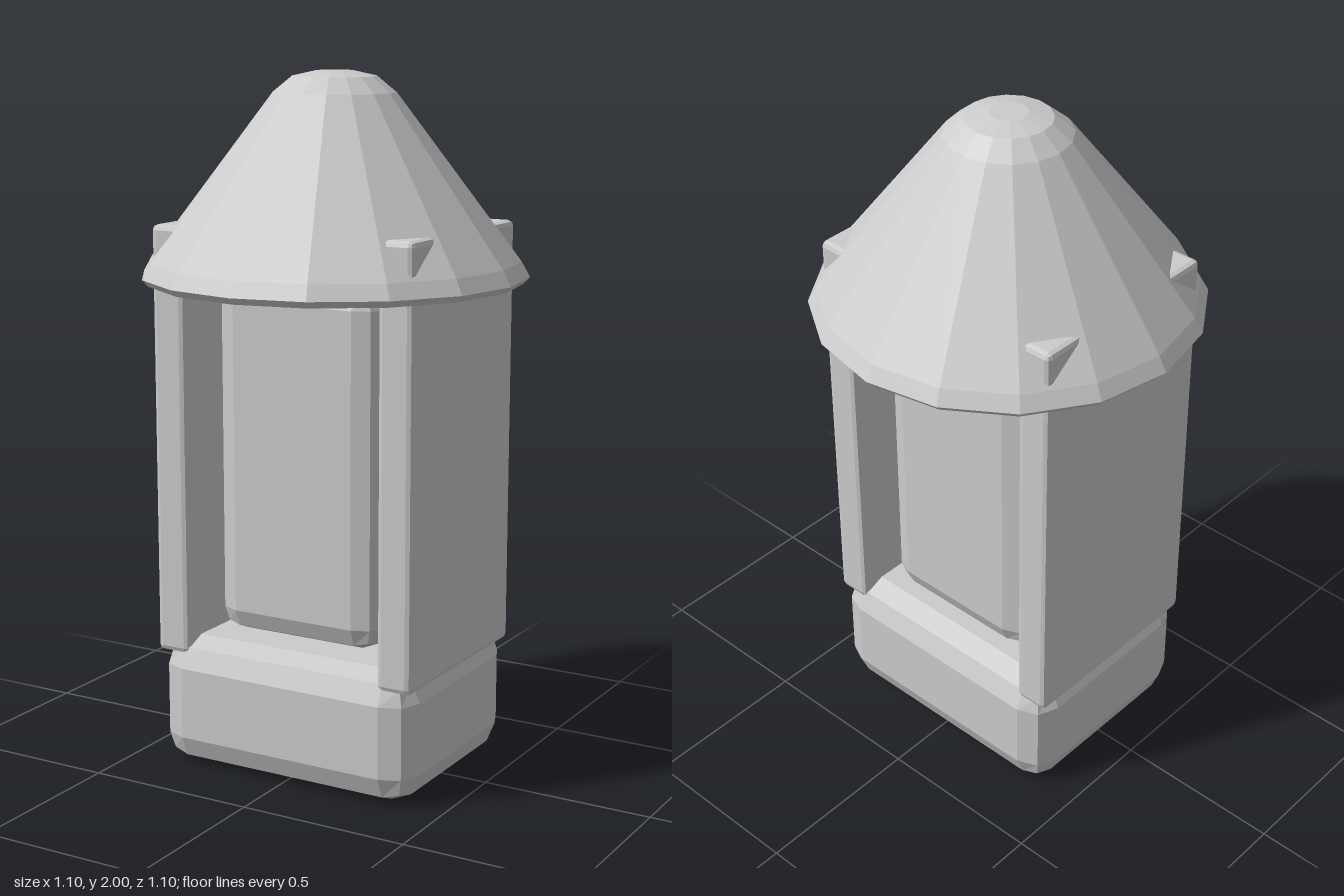
import * as THREE from 'three';
import { RoundedBoxGeometry } from 'three/addons/geometries/RoundedBoxGeometry.js';

export function createModel() {
  const group = new THREE.Group();
  const stone = new THREE.MeshStandardMaterial({ color: 0xcccccc });
  stone.name = 'light grey stone';
  stone.flatShading = true;

  function add(name, geometry, x = 0, y = 0, z = 0) {
    const mesh = new THREE.Mesh(geometry, stone);
    mesh.name = name;
    mesh.position.set(x, y, z);
    group.add(mesh);
  }

  // Block with two-step bevelled edges, spanning y0 to y1
  function block(name, width, depth, y0, y1, bevel, x = 0) {
    add(name, new RoundedBoxGeometry(width, y1 - y0, depth, 1, bevel), x, (y0 + y1) / 2);
  }

  block('base', 0.82, 0.65, 0, 0.38, 0.085);
  block('corePanel', 0.52, 0.48, 0.4, 1.44, 0.07);

  // Side walls, whose top corners poke through the roof
  for (const side of [-1, 1]) {
    block(side > 0 ? 'leftWall' : 'rightWall', 0.105, 0.62, 0.335, 1.578, 0.016, side * 0.3625);
  }

  // Sixteen-sided conical roof with a rounded tip and closed underside
  const profile = [
    [0, 1.413], [0.535, 1.413], [0.552, 1.432], [0.528, 1.475],
    [0.175, 1.94], [0.12, 1.985], [0.053, 2], [0, 2],
  ].map(([r, y]) => new THREE.Vector2(r, y));
  add('roof', new THREE.LatheGeometry(profile, 16));

  return group;
}
